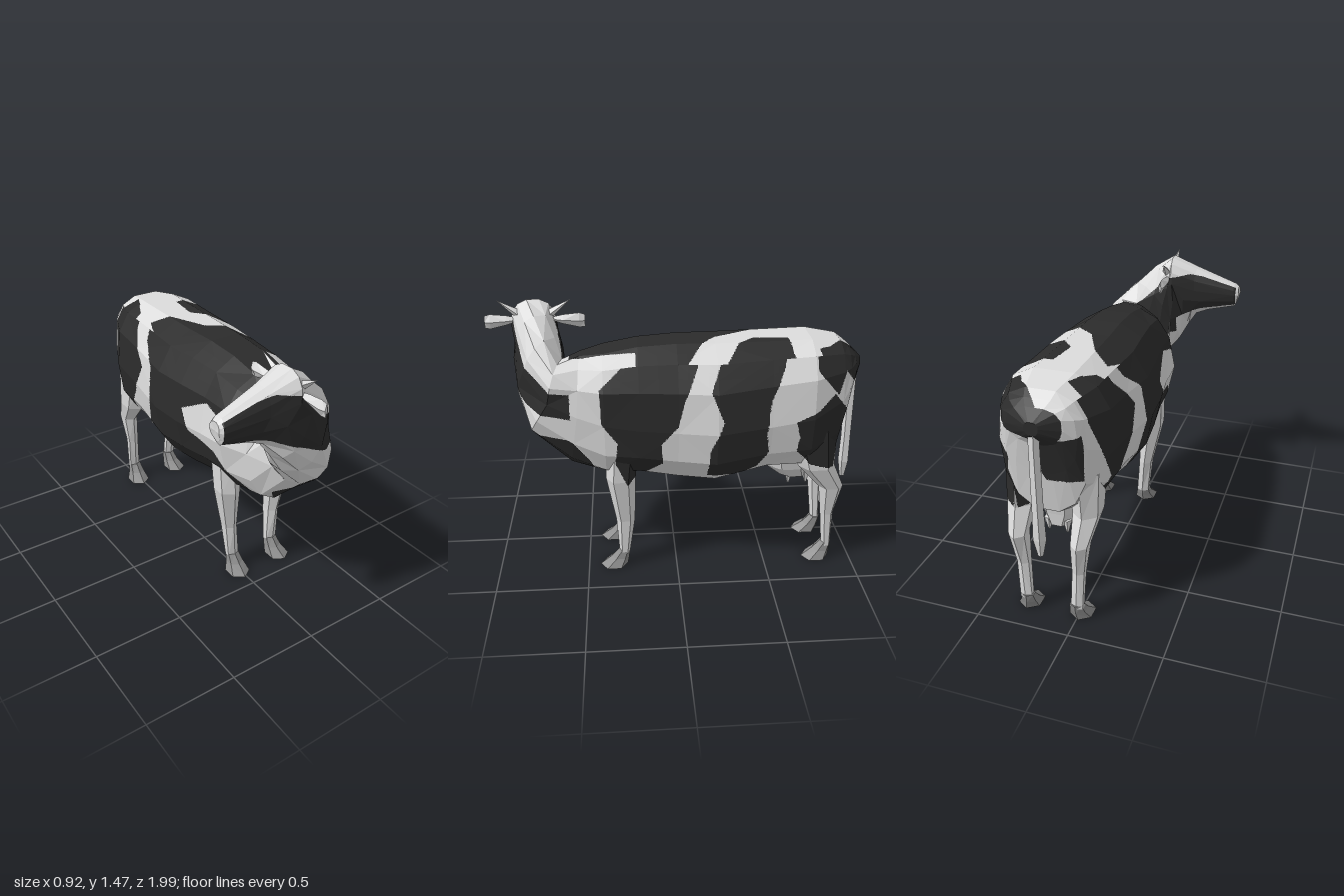
import * as THREE from 'three';

const V = (x, y, z) => new THREE.Vector3(x, y, z);
const MID = 0.135; // the trunk's centre plane in x

// Closed ring through four points (top, +x side, bottom, -x side); powers below 1 square off the upper and lower half
function ring(t, o, b, i, up, down, n = 14) {
  const T = V(...t), O = V(...o), B = V(...b), I = V(...i);
  const c = O.clone().add(I).multiplyScalar(0.5);
  return Array.from({ length: n }, (_, k) => {
    const a = (k / n) * Math.PI * 2, u = Math.cos(a), w = Math.sin(a), power = w > 0 ? up : down;
    return c.clone()
      .addScaledVector((u > 0 ? O : I).clone().sub(c), Math.abs(u) ** power)
      .addScaledVector((w > 0 ? T : B).clone().sub(c), Math.abs(w) ** power);
  });
}

// Horizontal ring for limbs: y, centre x, centre z, radius x, radius z
const flatRing = ([y, x, z, rx, rz], n = 6) => Array.from({ length: n }, (_, k) => {
  const a = ((k + 0.5) / n) * Math.PI * 2;
  return V(x + rx * Math.cos(a), y, z + rz * Math.sin(a));
});

// Triangles of a capped loft through rings
function loft(rings) {
  const tris = [], n = rings[0].length, last = rings.length - 1;
  const middle = r => r.reduce((s, p) => s.add(p), V(0, 0, 0)).divideScalar(n);
  const m0 = middle(rings[0]), m1 = middle(rings[last]);
  for (let j = 0; j < n; j++) {
    const k = (j + 1) % n;
    tris.push([m0, rings[0][k], rings[0][j]], [m1, rings[last][j], rings[last][k]]);
    for (let i = 0; i < last; i++) {
      const a = rings[i][j], b = rings[i][k], c = rings[i + 1][k], d = rings[i + 1][j];
      if ((i + j) % 2) tris.push([a, b, c], [a, c, d]);
      else tris.push([a, b, d], [b, c, d]);
    }
  }
  return tris;
}

function faceted(tris) {
  const g = new THREE.BufferGeometry().setFromPoints(tris.flat());
  g.computeVertexNormals();
  return g;
}

function inside(poly, x, y) {
  let hit = false;
  for (let i = 0, j = poly.length - 1; i < poly.length; j = i++) {
    const [ax, ay] = poly[i], [bx, by] = poly[j];
    if ((ay > y) !== (by > y) && x < ((bx - ax) * (y - ay)) / (by - ay) + ax) hit = !hit;
  }
  return hit;
}

// Coat patches: left and right flanks as (z, y), back as (x, z), head and chest as (x, y)
const LEFT = [
  [[.4, 1.115], [.25, 1.25], [.08, 1.4], [-.17, 1.4], [-.1, 1.23], [-.03, 1.06], [0, .93], [.09, .82], [.08, .7],
    [.21, .585], [.27, .55], [.33, .69], [.315, .82], [.395, .93]],
  [[-.28, 1.4], [-.58, 1.4], [-.54, 1.22], [-.47, 1.06], [-.455, .875], [-.47, .77], [-.42, .65], [-.33, .6],
    [-.155, .61], [-.165, .79], [-.23, .955], [-.165, 1.115]],
  [[-.71, 1.4], [-1.05, 1.4], [-1.05, 1.08], [-.93, 1.1], [-.87, 1.18], [-.83, 1.06], [-.71, 1.2]],
  [[-.605, .94], [-.72, .99], [-.81, 1.07], [-.9, .955], [-.87, .85], [-.85, .62], [-.71, .66], [-.62, .76], [-.63, .85]],
  [[.8, .815], [.56, .82], [.465, .69], [.4, .55], [.56, .55], [.8, .7]],
];
const RIGHT = [
  [[-.5, 1.4], [-.42, 1.2], [-.3, 1.1], [-.28, .9], [-.34, .7], [-.3, .6], [0, .58], [.4, .56], [.52, .62], [.42, .72],
    [.3, .83], [.1, .87], [.03, .98], [.22, 1.08], [.4, 1.02], [.62, 1.04], [.62, 1.4]],
  [[-.84, 1.4], [-.6, 1.4], [-.55, 1.22], [-.4, 1.05], [-.5, .85], [-.68, .6], [-.8, .64], [-.7, .8], [-.78, .98], [-.84, 1.15]],
  [[-.97, 1.08], [-.88, 1.1], [-.865, .85], [-.92, .84]],
  [[-.93, 1.4], [-1.05, 1.4], [-1.05, 1.08], [-.94, 1.08]],
];
const BACK = [
  [[-.05, -.48], [.04, -.41], [.135, -.2], [.27, -.1], [.42, 0], [.42, .35], [.35, .38], [.34, .21], [.25, .21], [.2, .55],
    [.08, .61], [-.05, .6], [-.2, .4], [-.2, -.2], [-.13, -.27]],
  [[.19, -.58], [.4, -.6], [.47, -.4], [.47, -.18], [.24, -.32], [.17, -.4]],
  [[.135, -1.02], [.135, -.93], [.26, -.79], [.29, -.73], [.4, -.74], [.45, -.8], [.3, -1]],
  [[-.12, -.84], [.04, -.77], [-.04, -.61], [-.12, -.6], [-.13, -.4], [-.2, -.5], [-.2, -.8]],
];
const FACE = [[[-.442, 1.22], [-.442, 1.35], [-.17, 1.395], [-.03, 1.37], [0, 1.33], [.1, 1.235], [.31, 1.09], [.345, 1.06],
  [.345, .94], [.18, .985], [-.03, 1.095], [-.23, 1.185]]];
const CHEST = [[[0, .7], [.03, .65], [.1, .54], [.25, .54], [.25, .815], [.14, .815], [.1, .81], [.06, .76]]];

function isDark(p, n) {
  const any = (polys, a, b) => polys.some(q => inside(q, a, b));
  // Brisket
  if (p.z > 0.4 && p.y < 0.83 && n.z > 0.3 && p.x < MID && p.x > -0.03) return any(CHEST, p.x, p.y);
  // Head and neck, with a pale bridge along the nose
  if (p.z > 0.555 && p.y > 0.83) {
    if (p.x < -0.12 && n.y > 0.72) return false;
    if (any(FACE, p.x, p.y)) return true;
    return p.x > -0.1 && p.x < 0.16 && p.y > 1.03 && p.y < 1.33 && n.z < -0.2 && n.x < -0.1;
  }
  if (n.y > 0.75) return any(BACK, p.x, p.z);
  return any(p.x > MID ? LEFT : RIGHT, p.z, p.y);
}

// Splits triangles along patch edges and sorts the pieces by colour
function coat(tris) {
  const light = [], dark = [];
  const mix = (a, b) => a.clone().lerp(b, 0.5);
  function cut(a, b, c, n, depth) {
    const ab = mix(a, b), bc = mix(b, c), ca = mix(c, a);
    const m = a.clone().add(b).add(c).divideScalar(3);
    const hits = [a, b, c, ab, bc, ca, m].filter(p => isDark(p, n)).length;
    if (depth > 0 && (depth > 4 || (hits > 0 && hits < 7))) {
      for (const [p, q, r] of [[a, ab, ca], [ab, b, bc], [ca, bc, c], [ab, bc, ca]]) cut(p, q, r, n, depth - 1);
    } else (isDark(m, n) ? dark : light).push([a, b, c]);
  }
  for (const [a, b, c] of tris) {
    const n = b.clone().sub(a).cross(c.clone().sub(a)).normalize();
    cut(a, b, c, n, 5);
  }
  const g = faceted([...light, ...dark]);
  g.addGroup(0, light.length * 3, 0);
  g.addGroup(light.length * 3, dark.length * 3, 1);
  return g;
}

export function createModel() {
  const cow = new THREE.Group();
  cow.name = 'cow';
  const paint = (name, color) => Object.assign(new THREE.MeshStandardMaterial({ color }), { name });
  const white = paint('whiteHide', 0xdcdcdc), black = paint('blackHide', 0x2b2b2b), horny = paint('hoofGrey', 0x8c8c8c);
  const add = (name, geometry, material) => {
    const m = new THREE.Mesh(geometry, material);
    m.name = name;
    cow.add(m);
    return m;
  };

  // Trunk: z, min x, max x, bottom, top, height of the widest point, squareness above and below
  const trunk = [
    [-.985, .1, .17, 1.12, 1.19, 1.16, .8, .9], [-.935, 0, .28, 1.05, 1.24, 1.14, .75, .9],
    [-.9, -.05, .33, .88, 1.27, 1.08, .72, .85], [-.86, -.085, .36, .64, 1.3, 1.02, .72, .85],
    [-.7, -.16, .43, .58, 1.325, .95, .7, .84], [-.48, -.17, .44, .58, 1.32, .92, .74, .86],
    [-.2, -.2, .46, .5, 1.315, .89, .82, .92], [0, -.19, .42, .52, 1.315, .89, .82, .92],
    [.2, -.165, .4, .56, 1.3, .9, .8, .88], [.38, -.165, .375, .565, 1.265, .92, .78, .86],
  ].map(([z, x0, x1, b, t, w, up, down]) => ring([MID, t, z], [x1, w, z], [MID, b, z], [x0, w, z], up, down));

  // Neck swinging round to the head: crest, outer side, throat, inner side
  const neckAndHead = [
    [[.13, 1.24, .5], [.345, .96, .52], [.12, .61, .57], [-.1, .91, .52]],
    [[.19, 1.215, .6], [.305, 1.02, .67], [.11, .8, .77], [-.06, 1, .6]],
    [[.125, 1.315, .65], [.17, 1.14, .8], [-.05, .94, .8], [-.07, 1.12, .61]],
    [[.04, 1.415, .7], [.03, 1.25, .84], [-.14, 1.05, .8], [-.08, 1.23, .62]],
    [[-.05, 1.477, .74], [-.06, 1.34, .865], [-.21, 1.135, .755], [-.07, 1.34, .62]],
    [[-.2, 1.42, .745], [-.21, 1.3, .835], [-.28, 1.165, .75], [-.2, 1.3, .655]],
    [[-.43, 1.338, .755], [-.443, 1.28, .81], [-.437, 1.202, .755], [-.435, 1.28, .7]],
    [[-.455, 1.322, .755], [-.46, 1.28, .792], [-.447, 1.225, .755], [-.46, 1.28, .716]],
  ].map(r => ring(...r, 0.88, 0.88));
  add('body', coat(loft([...trunk, ...neckAndHead])), [white, black]);

  // Legs and hooves, mirrored about the trunk's centre plane; the right foreleg is splayed a little
  const fore = [[.75, .29, .29, .07, .085], [.57, .288, .305, .07, .08], [.3, .275, .285, .042, .052], [.08, .27, .295, .04, .03]];
  const hind = [[.85, .3, -.72, .09, .14], [.62, .31, -.76, .075, .1], [.48, .3, -.855, .05, .068],
    [.3, .285, -.85, .037, .037], [.08, .275, -.865, .037, .026]];
  for (const [name, rows, splay] of [['front', fore, .07], ['hind', hind, 0]]) {
    const z = rows.at(-1)[2];
    const hoof = [[.1, .27, z, .038, .03], [.05, .272, z + .025, .048, .05], [.003, .28, z + .062, .068, .078]];
    const mirror = ([y, x, ...rest]) => [y, 2 * MID - x - splay * Math.min(y, .6), ...rest];
    add(`${name}LegLeft`, coat(loft(rows.map(r => flatRing(r)))), [white, black]);
    add(`${name}LegRight`, faceted(loft(rows.map(r => flatRing(mirror(r))))), white);
    add(`${name}HoofLeft`, faceted(loft(hoof.map(r => flatRing(r)))), horny);
    add(`${name}HoofRight`, faceted(loft(hoof.map(r => flatRing(mirror(r))))), horny);
  }

  // Tail
  const tail = [[1.17, MID, -.955, .03, .03], [1.05, MID, -.96, .027, .03], [.7, MID, -.965, .03, .028],
    [.55, MID, -.965, .035, .03], [.45, MID, -.965, .014, .014]];
  add('tail', faceted(loft(tail.map(r => flatRing(r, 5)))), white);

  // Udder and teats
  const udder = [[.68, MID, -.63, .15, .17], [.56, MID, -.64, .125, .14], [.485, MID, -.68, .07, .09]];
  add('udder', faceted(loft(udder.map(r => flatRing(r, 8)))), white);
  for (const dx of [-.05, .05]) for (const z of [-.64, -.74])
    add('teat', faceted(loft([[.52, MID + dx, z, .025, .025], [.445, MID + dx, z, .006, .006]].map(r => flatRing(r, 5)))), white);

  // Ears and horns on both sides of the head
  for (const s of [1, -1]) {
    const zHead = 0.735;
    const ear = [[.1, .012, .012], [.15, .022, .026], [.235, .02, .04], [.265, .008, .034]].map(([d, rx, ry]) =>
      Array.from({ length: 4 }, (_, k) => {
        const a = (k * Math.PI / 2) * s;
        return V(-.04 + rx * Math.cos(a), 1.368 - .07 * (d - .1) + ry * Math.sin(a), zHead + s * d);
      }));
    add(s > 0 ? 'earLeft' : 'earRight', faceted(loft(ear)), white);
    const base = V(-.03, 1.4, zHead + s * .08), tip = V(-.04, 1.475, zHead + s * .195);
    const dir = tip.clone().sub(base);
    const cone = new THREE.ConeGeometry(0.024, dir.length(), 4).toNonIndexed();
    cone.computeVertexNormals();
    const horn = add(s > 0 ? 'hornLeft' : 'hornRight', cone, white);
    horn.position.copy(base).addScaledVector(dir, 0.5);
    horn.quaternion.setFromUnitVectors(V(0, 1, 0), dir.normalize());
  }
  return cow;
}
